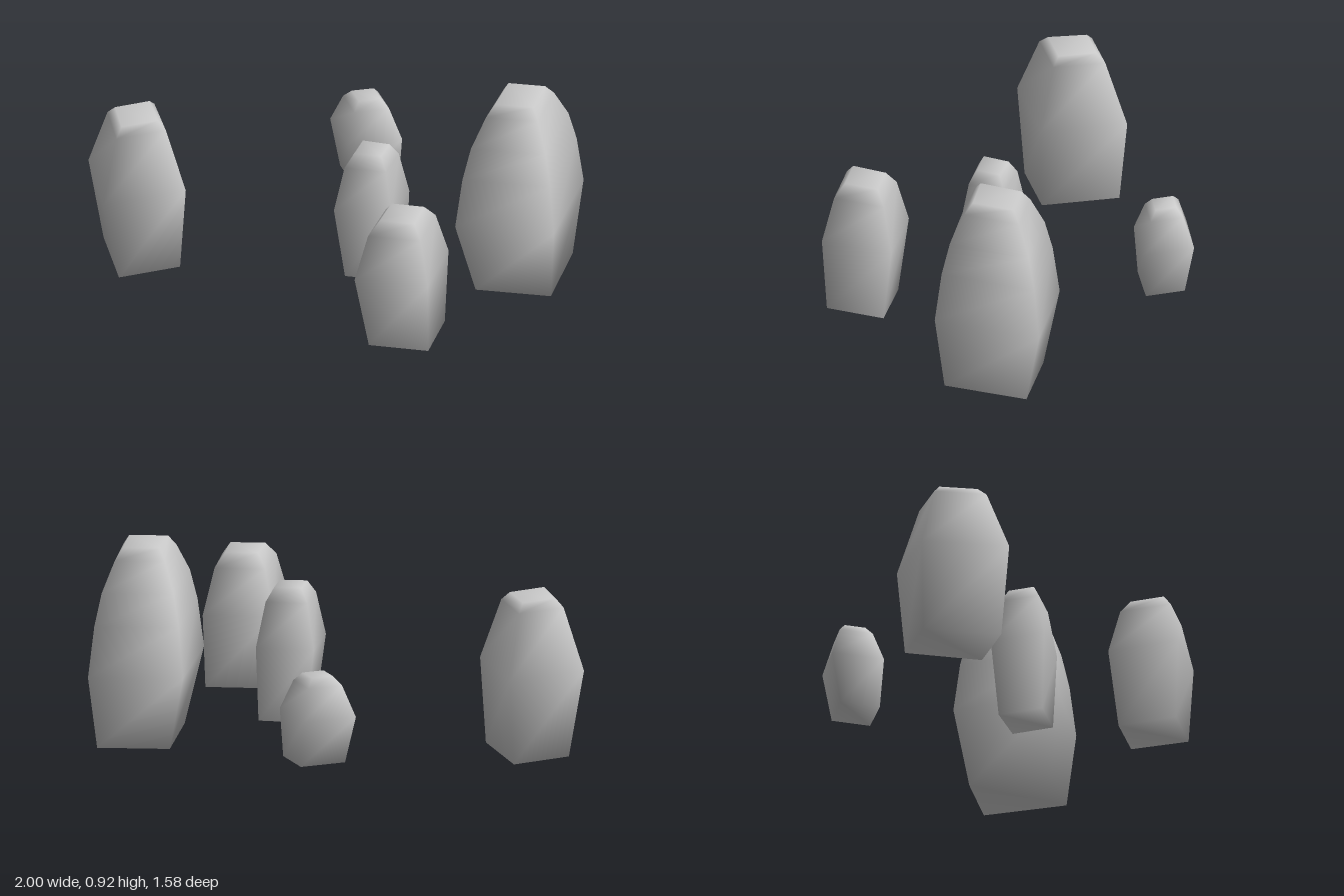
import * as THREE from 'three';

// Upper profiles: [fraction of height from the widest ring to the top, scale]
const STRAIGHT = [[0.88, 0.6], [1, 0.44]];
const ROUNDED = [[0.77, 0.72], [1, 0.47]];
const DOMED = [[0.41, 0.89], [0.67, 0.76], [0.91, 0.53], [1, 0.39]];

// corners: [x, z] of the widest ring, clockwise from above.
// y: [base, widest, top]; foot: [x scale, z scale, x shift, z shift] of the base.
const ROCKS = [
  { name: 'backRightRock', corners: [[-0.94, -0.74], [-0.59, -0.74], [-0.63, -0.37], [-1, -0.37]],
    y: [0, 0.38, 0.685], foot: [0.74, 0.9, 0.02, 0.007], upper: STRAIGHT },
  { name: 'frontRock', corners: [[-0.02, 0.38], [0.24, 0.53], [0.06, 0.785], [-0.215, 0.63]],
    y: [0.1, 0.43, 0.685], foot: [0.81, 0.82, 0.017, 0.017], upper: ROUNDED },
  { name: 'centreRock', corners: [[0.035, -0.125], [0.24, 0.015], [0.1, 0.19], [-0.115, 0.065]],
    y: [0.1, 0.43, 0.685], foot: [0.81, 0.82, 0.013, 0.012], upper: ROUNDED },
  { name: 'largeRock', corners: [[0.64, -0.1], [0.995, 0.09], [0.73, 0.475], [0.355, 0.28]],
    y: [0.05, 0.38, 0.915], foot: [0.76, 0.79, 0.014, 0.018], upper: DOMED },
  { name: 'smallBackRock', corners: [[0.16, -0.79], [0.395, -0.76], [0.395, -0.535], [0.16, -0.56]],
    y: [0.13, 0.34, 0.51], foot: [0.84, 0.76, 0.01, 0.015], upper: [[0.78, 0.64], [1, 0.4]] },
];

// Stacks four-cornered rings into a closed, smoothly shaded rock
function rockGeometry({ corners, y: [base, mid, top], foot, upper }) {
  const cx = corners.reduce((s, c) => s + c[0], 0) / 4;
  const cz = corners.reduce((s, c) => s + c[1], 0) / 4;
  const rings = [
    [base, ...foot],
    [mid, 1, 1, 0, 0],
    ...upper.map(([t, s]) => [mid + (top - mid) * t, s, s, 0, 0]),
  ];
  const positions = [];
  for (const [y, sx, sz, dx, dz] of rings) {
    for (const [x, z] of corners) {
      positions.push(cx + dx + (x - cx) * sx, y, cz + dz + (z - cz) * sz);
    }
  }
  const index = [0, 1, 2, 0, 2, 3]; // underside
  for (let r = 0; r < rings.length - 1; r++) {
    for (let i = 0; i < 4; i++) {
      const a = r * 4 + i;
      const b = r * 4 + (i + 1) % 4;
      index.push(a, a + 4, b, b, a + 4, b + 4);
    }
  }
  const t = (rings.length - 1) * 4; // flat top
  index.push(t, t + 3, t + 2, t, t + 2, t + 1);

  const geometry = new THREE.BufferGeometry();
  geometry.setAttribute('position', new THREE.Float32BufferAttribute(positions, 3));
  geometry.setIndex(index);
  geometry.computeVertexNormals();
  return geometry;
}

export function createModel() {
  const group = new THREE.Group();
  group.name = 'rockCluster';
  const material = new THREE.MeshStandardMaterial({ color: 0xcccccc });
  for (const rock of ROCKS) {
    const mesh = new THREE.Mesh(rockGeometry(rock), material);
    mesh.name = rock.name;
    group.add(mesh);
  }
  return group;
}
